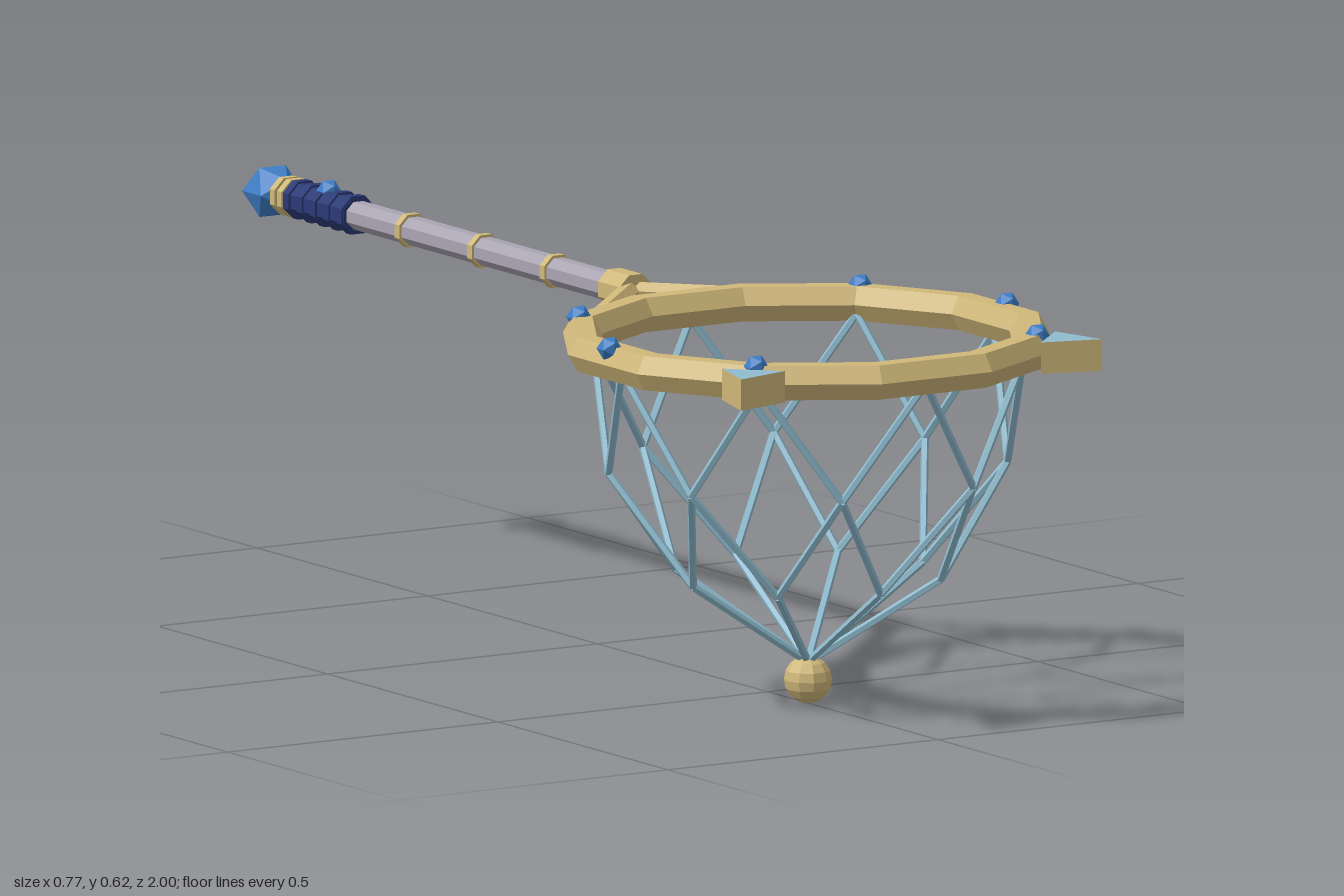
import * as THREE from 'three';

const RIM_Y = 0.575;   // height of rim and handle
const HOOP_Z = 0.618;  // centre of the hoop

const mat = (name, color) => {
  const m = new THREE.MeshStandardMaterial({ color, flatShading: true });
  m.name = name;
  return m;
};

export function createModel() {
  const gold = mat('gold', 0xd0b87a);
  const cord = mat('pale blue cord', 0x8fbccf);
  const steel = mat('lavender steel', 0xaaa5b2);
  const wrap = mat('navy wrap', 0x2b3a75);
  const gemBlue = mat('gem blue', 0x3f7fc8);

  const model = new THREE.Group();
  model.name = 'handNet';

  const add = (parent, name, geometry, material, x = 0, y = 0, z = 0) => {
    const mesh = new THREE.Mesh(geometry, material);
    mesh.name = name;
    mesh.position.set(x, y, z);
    parent.add(mesh);
    return mesh;
  };

  // straight rod between two points
  const rod = (parent, name, a, b, radius, sides, material) => {
    const dir = b.clone().sub(a);
    const mesh = add(parent, name, new THREE.CylinderGeometry(radius, radius, dir.length(), sides), material);
    mesh.position.copy(a).add(b).multiplyScalar(0.5);
    mesh.quaternion.setFromUnitVectors(new THREE.Vector3(0, 1, 0), dir.normalize());
    return mesh;
  };

  // point around the hoop axis
  const around = (r, y, deg) => {
    const a = THREE.MathUtils.degToRad(deg);
    return new THREE.Vector3(r * Math.cos(a), y, HOOP_Z + r * Math.sin(a));
  };

  // Hoop: twelve-sided rim with a hexagonal section
  const hoop = new THREE.Group();
  hoop.name = 'hoop';
  model.add(hoop);
  const rim = new THREE.TorusGeometry(0.362, 0.0315, 6, 12);
  rim.rotateZ(Math.PI / 12);
  rim.rotateX(Math.PI / 2);
  add(hoop, 'rim', rim, gold, 0, RIM_Y, HOOP_Z);

  for (const deg of [0, 45, 135, 180, 225, 315]) {
    const p = around(0.368, 0.6, deg);
    add(hoop, 'rimGem', new THREE.IcosahedronGeometry(0.02, 0), gemBlue, p.x, p.y, p.z);
  }

  // Triangular spikes on the front corners, with pale tops
  for (const side of [-1, 1]) {
    const spike = add(hoop, 'spike', new THREE.CylinderGeometry(0.058, 0.058, 0.05, 3),
      [gold, cord, gold], side * 0.293, 0.573, HOOP_Z + 0.293);
    spike.rotation.y = side * Math.PI / 4;
  }

  // Net: spokes from the bottom, then two rows of diamonds
  const net = new THREE.Group();
  net.name = 'net';
  model.add(net);
  const strand = (a, b) => rod(net, 'strand', a, b, 0.0065, 5, cord);
  for (let i = 0; i < 8; i++) {
    const deg = i * 45;
    const low = around(0.213, 0.205, deg);
    const top = around(0.345, 0.56, deg);
    strand(new THREE.Vector3(0, 0.065, HOOP_Z), low);
    for (const s of [-22.5, 22.5]) {
      const mid = around(0.317, 0.375, deg + s);
      strand(low, mid);
      strand(mid, top);
    }
  }
  add(net, 'bottomBall', new THREE.SphereGeometry(0.038, 10, 8), gold, 0, 0.038, HOOP_Z);

  // Handle along z
  const handle = new THREE.Group();
  handle.name = 'handle';
  model.add(handle);
  const section = (name, z0, z1, radius, material, sides = 8) => {
    const g = new THREE.CylinderGeometry(radius, radius, z0 - z1, sides);
    g.rotateY(Math.PI / sides);
    g.rotateX(Math.PI / 2);
    return add(handle, name, g, material, 0, RIM_Y, (z0 + z1) / 2);
  };
  section('collar', 0.112, 0.048, 0.032, gold);
  section('shaft', 0.06, -0.72, 0.0235, steel);
  for (const z of [-0.122, -0.335, -0.548]) section('shaftBand', z + 0.007, z - 0.007, 0.028, gold);

  // Grip with raised wraps
  section('grip', -0.703, -0.878, 0.029, wrap);
  for (let i = 0; i < 5; i++) {
    const z = -0.712 - i * 0.039;
    section('gripWrap', z + 0.008, z - 0.008, 0.0325, wrap);
  }
  add(handle, 'gripGem', new THREE.IcosahedronGeometry(0.02, 0), gemBlue, 0, 0.6, -0.79);

  // Pommel
  section('pommelNeck', -0.875, -0.925, 0.025, gold);
  for (const z of [-0.888, -0.909]) section('pommelRing', z + 0.007, z - 0.007, 0.032, gold);
  const pommel = add(handle, 'pommelGem', new THREE.IcosahedronGeometry(0.046, 0), gemBlue, 0, RIM_Y, -0.955);
  pommel.scale.z = 1.15;

  // Yoke arms from the collar to the rim
  for (const side of [-1, 1]) {
    rod(model, 'yokeArm', new THREE.Vector3(side * 0.008, RIM_Y, 0.105),
      new THREE.Vector3(side * 0.255, RIM_Y, HOOP_Z - 0.255), 0.018, 6, gold);
  }

  return model;
}
